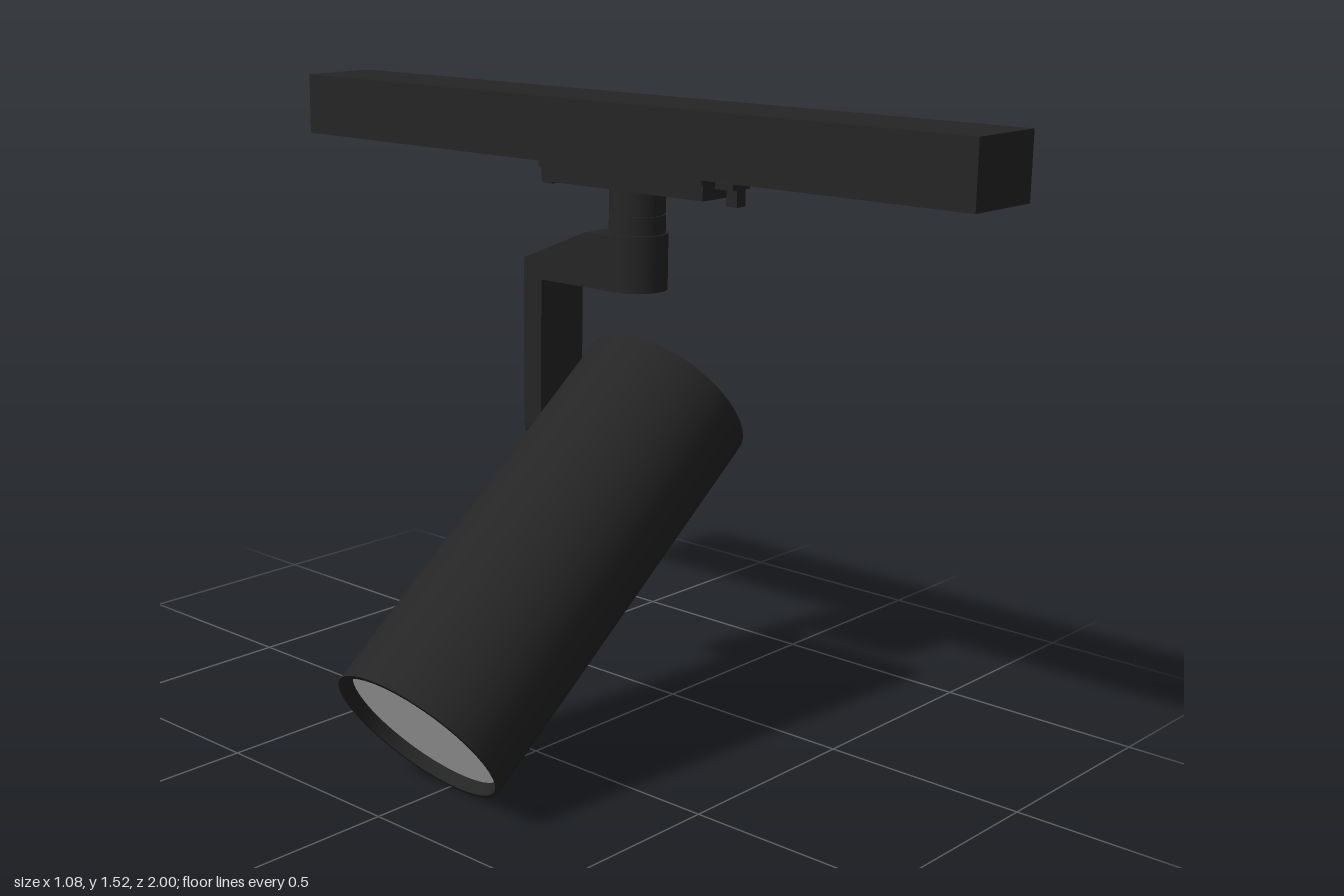
import * as THREE from 'three';
import { toCreasedNormals } from 'three/addons/utils/BufferGeometryUtils.js';

const X = 0.2975; // centre line of track and bracket
const Z = 0.0375; // centre of lamp and neck

export function createModel() {
  const model = new THREE.Group();
  model.name = 'trackSpotlight';
  const black = new THREE.MeshStandardMaterial({ color: 0x252525 });
  black.name = 'mattBlack';
  const white = new THREE.MeshStandardMaterial({ color: 0xf4f4f4 });
  white.name = 'lensWhite';

  const add = (name, geometry, x = 0, y = 0, z = 0, parent = model, material = black) => {
    const mesh = new THREE.Mesh(geometry, material);
    mesh.name = name;
    mesh.position.set(x, y, z);
    parent.add(mesh);
    return mesh;
  };
  const box = (name, w, h, d, x, y, z) => add(name, new THREE.BoxGeometry(w, h, d), x, y, z);
  const upright = (name, r, y0, y1) =>
    add(name, new THREE.CylinderGeometry(r, r, y1 - y0, 32), X, (y0 + y1) / 2, Z);
  const shapeOf = (points) => new THREE.Shape(points.map(([x, y]) => new THREE.Vector2(x, y)));
  const extrude = (points, depth) => {
    const g = new THREE.ExtrudeGeometry(shapeOf(points), { depth, bevelEnabled: false });
    return g.translate(0, 0, -depth / 2);
  };

  // Track: channel section open below with inward lips, closed by end caps
  const half = [[0.06, 0], [0.1, 0], [0.1, 0.15]];
  const inner = [[0.078, 0.125], [0.078, 0.075], [0.06, 0.075], [0.06, 0.055], [0.078, 0.055], [0.078, 0.018], [0.06, 0.018]];
  const mirrored = (pts) => pts.map(([x, y]) => [-x, y]).reverse();
  add('track', extrude([...half, ...mirrored(half), ...mirrored(inner), ...inner], 1.97), 0.295, 1.37, 0);
  for (const s of [-1, 1]) box('trackEndCap', 0.2, 0.15, 0.015, 0.295, 1.445, s * 0.9925);

  // Adapter clipped into the track, with a latch at each end
  box('adapterInsert', 0.11, 0.1, 0.46, X, 1.42, 0.045);
  box('adapterFlange', 0.155, 0.016, 0.49, X, 1.362, 0.045);
  box('adapterBody', 0.145, 0.036, 0.49, X, 1.337, 0.045);
  for (const s of [-1, 1]) {
    box('latchArm', 0.06, 0.014, 0.1, X, 1.349, 0.045 + s * 0.245);
    box('latchTip', 0.03, 0.042, 0.03, X, 1.325, 0.045 + s * 0.28);
  }

  // Swivel neck
  upright('neckUpper', 0.066, 1.262, 1.325);
  upright('neckGroove', 0.062, 1.256, 1.264);
  upright('neckLower', 0.066, 1.21, 1.258);
  upright('bracketHub', 0.0725, 1.083, 1.215);

  // Cranked bracket, drawn from the side as (-z, y)
  const bracket = extrude([
    [-Z, 1.083], [0.2, 1.083], [0.2, 0.7275], [0.257, 0.7275],
    [0.257, 1.13], [0.06, 1.212], [-Z, 1.212],
  ], 0.145);
  add('bracketArm', bracket.rotateY(Math.PI / 2), X, 0, 0);
  const disc = (name, r, z0, z1) => {
    const g = new THREE.CylinderGeometry(r, r, z1 - z0, 32).rotateX(Math.PI / 2);
    add(name, g, X, 0.7275, (z0 + z1) / 2);
  };
  disc('bracketRoundEnd', 0.0725, -0.257, -0.2);
  disc('pivotKnob', 0.064, -0.2, -0.15);

  // Tilted lamp, open at the lower end
  const lamp = new THREE.Group();
  lamp.name = 'lamp';
  lamp.position.set(-0.0025, 0.49, Z);
  lamp.rotation.z = -Math.atan2(0.82, 0.63);
  model.add(lamp);
  const profile = [[0.198, -0.485], [0.205, -0.517], [0.2155, -0.517], [0.2155, 0.517], [0, 0.517]]
    .map(([r, y]) => new THREE.Vector2(r, y));
  add('lampHousing', toCreasedNormals(new THREE.LatheGeometry(profile, 40), 0.6), 0, 0, 0, lamp);
  const lens = new THREE.CircleGeometry(0.199, 40).rotateX(Math.PI / 2);
  add('lens', lens, 0, -0.487, 0, lamp, white);

  return model;
}
